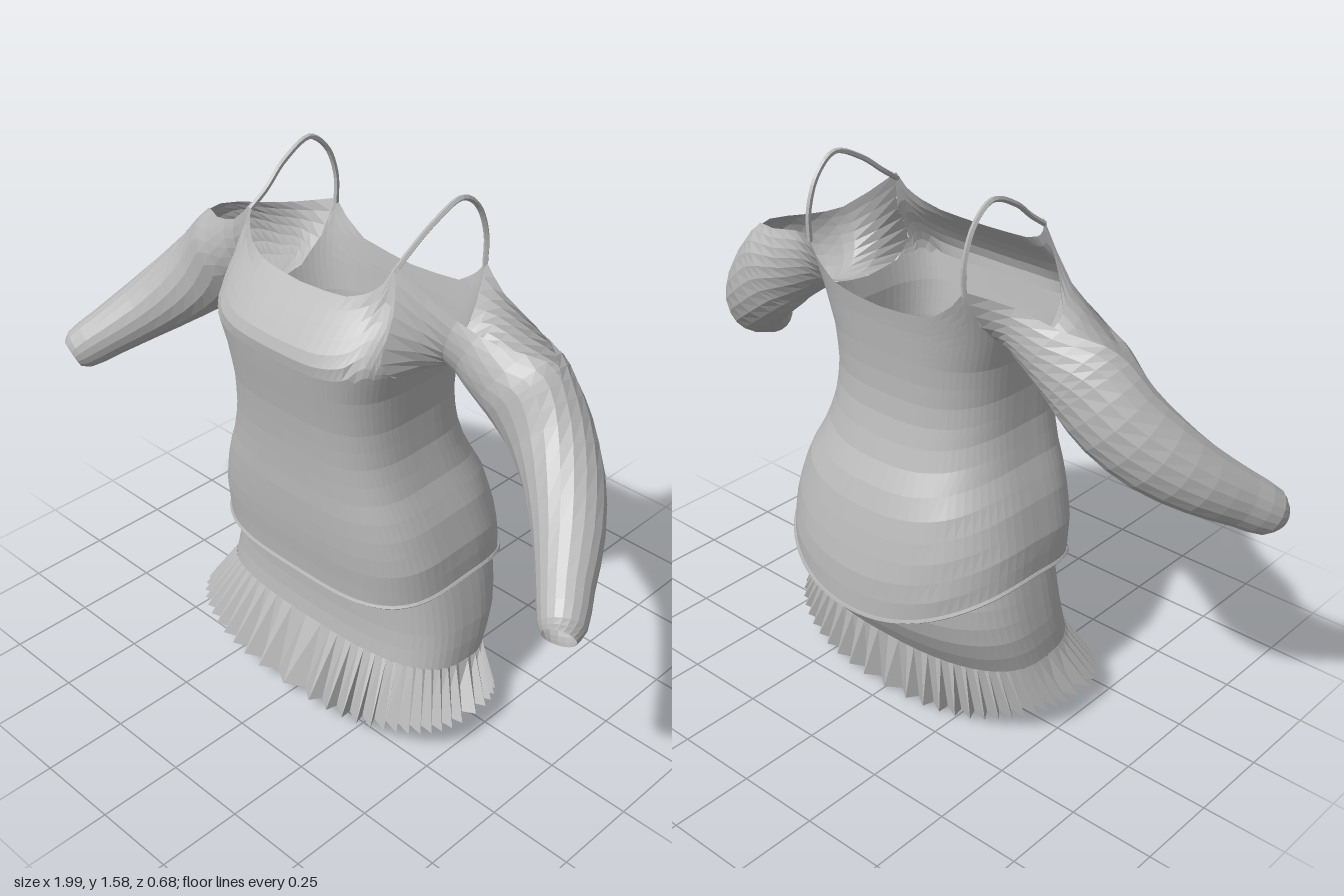
import * as THREE from 'three';

const fabric = new THREE.MeshStandardMaterial({ color: 0xb8b8b8, flatShading: true, side: THREE.DoubleSide });
fabric.name = 'grey fabric';
const RAD = Math.PI / 180;
const V = (x, y, z) => new THREE.Vector3(x, y, z);

// Linear lookup in rows of [key, value, value...], keys ascending
function lookup(table, k) {
  if (k <= table[0][0]) return table[0].slice(1);
  for (let i = 1; i < table.length; i++) {
    const a = table[i - 1], b = table[i];
    if (k <= b[0]) {
      const t = (k - a[0]) / (b[0] - a[0]);
      return a.slice(1).map((v, j) => v + (b[j + 1] - v) * t);
    }
  }
  return table[table.length - 1].slice(1);
}

// Surface through rows of points
function loft(rows) {
  const pos = [], idx = [], n = rows[0].length;
  rows.forEach(r => r.forEach(p => pos.push(p.x, p.y, p.z)));
  for (let i = 0; i < rows.length - 1; i++)
    for (let j = 0; j < n - 1; j++) {
      const a = i * n + j, b = a + n;
      idx.push(a, b, a + 1, a + 1, b, b + 1);
    }
  const g = new THREE.BufferGeometry();
  g.setAttribute('position', new THREE.Float32BufferAttribute(pos, 3));
  g.setIndex(idx);
  const flat = g.toNonIndexed();
  flat.computeVertexNormals();
  return flat;
}

function add(parent, name, geometry) {
  const m = new THREE.Mesh(geometry, fabric);
  m.name = name;
  parent.add(m);
  return m;
}

// Rounded-square outline point; z = +sin is the front
function outline(deg, y, w, zf, zb, eFront, eBack) {
  const c = Math.cos(deg * RAD), s = Math.sin(deg * RAD), e = s >= 0 ? eFront : eBack;
  const pw = v => Math.sign(v) * Math.pow(Math.abs(v), e);
  return V(w * pw(c), y, (zf + zb) / 2 + (zf - zb) / 2 * pw(s));
}

// height, half width, front z, back z
const BODY = [
  [0.36, 0.4, 0.265, -0.335], [0.47, 0.405, 0.27, -0.33], [0.58, 0.4, 0.283, -0.305],
  [0.7, 0.365, 0.29, -0.27], [0.8, 0.318, 0.29, -0.215], [0.9, 0.292, 0.295, -0.183],
  [1.0, 0.285, 0.305, -0.172], [1.1, 0.292, 0.323, -0.178], [1.19, 0.315, 0.338, -0.186],
  [1.22, 0.32, 0.328, -0.19], [1.27, 0.327, 0.29, -0.197], [1.35, 0.335, 0.222, -0.215],
  [1.45, 0.338, 0.18, -0.215]];
// angle, height of the upper edge: back neckline, back strap, armpit, front strap, front neckline
const EDGE = [
  [-90, 1.24], [-70, 1.26], [-55, 1.31], [-45, 1.355], [-35, 1.25], [-20, 1.18], [0, 1.155],
  [15, 1.17], [30, 1.23], [42, 1.36], [50, 1.455], [55, 1.41], [62, 1.38], [75, 1.355], [90, 1.345]];

// v = 0 hem, 0.6 underarm line, 1 upper edge
function bodyPoint(deg, v) {
  const s = Math.sin(deg * RAD);
  const hem = s > 0 ? 0.49 - 0.045 * s : 0.49 - 0.13 * s * s;
  const [top] = lookup(EDGE, Math.asin(s) / RAD);
  const [y] = lookup([[0, hem], [0.6, 1.1], [1, top]], v);
  const [w, zf, zb] = lookup(BODY, y);
  const eBack = THREE.MathUtils.mapLinear(Math.min(y, 1.3), 0.4, 1.3, 0.9, 0.55);
  return outline(deg, y, w, zf, zb, 0.57, eBack);
}

// centre x, y, z, radius up, radius sideways, opening half angle at front and back
const SLEEVE = [
  [0.385, 1.275, -0.01, 0.125, 0.115, 60, 65], [0.47, 1.215, -0.015, 0.122, 0.112, 40, 40],
  [0.55, 1.165, -0.02, 0.13, 0.115, 10, 10], [0.58, 1.135, -0.02, 0.13, 0.113, 0, 0],
  [0.65, 1.065, -0.01, 0.122, 0.108, 0, 0], [0.735, 0.985, 0.035, 0.112, 0.102, 0, 0],
  [0.82, 0.905, 0.115, 0.094, 0.09, 0, 0], [0.89, 0.835, 0.21, 0.078, 0.072, 0, 0],
  [0.94, 0.785, 0.278, 0.066, 0.06, 0, 0], [0.95, 0.772, 0.302, 0.045, 0.045, 0, 0]];

function sleeveGeometry() {
  const centres = [V(0.27, 1.28, 0), ...SLEEVE.map(s => V(s[0], s[1], s[2]))];
  // Seam along the body armhole, spaced evenly from front strap to back strap
  const armhole = Array.from({ length: 20 }, (_, k) => bodyPoint(50 - 5 * k, 1));
  const seam = new THREE.CatmullRomCurve3(armhole).getSpacedPoints(19);
  const columns = seam.map((start, k) => {
    const pts = [start];
    SLEEVE.forEach(([, , , ru, rz, gf, gb], i) => {
      const c = centres[i + 1];
      const t = (centres[i + 2] || c).clone().sub(centres[i]).normalize();
      const side = t.clone().cross(V(0, 1, 0)).normalize();
      const up = side.clone().cross(t);
      const phi = (gf + (360 - gf - gb) * k / 19) * RAD;
      pts.push(c.clone().addScaledVector(up, ru * Math.cos(phi)).addScaledVector(side, rz * Math.sin(phi)));
    });
    return new THREE.CatmullRomCurve3(pts);
  });
  const rows = [];
  for (let r = 20; r >= 0; r--) rows.push(columns.map(c => c.getPoint(r / 20)));
  return loft(rows);
}

export function createModel() {
  const model = new THREE.Group();
  model.name = 'dress';
  const angles = Array.from({ length: 73 }, (_, i) => i * 5);

  // Blouse body with dipped hem and open armholes
  const rows = [];
  for (let r = 0; r <= 20; r++) rows.push(angles.map(a => bodyPoint(a, r / 20)));
  add(model, 'blouseBody', loft(rows));

  // Rolled hem
  const hem = new THREE.CatmullRomCurve3(angles.slice(0, -1).map(a => bodyPoint(a, 0)), true);
  add(model, 'blouseHem', new THREE.TubeGeometry(hem, 72, 0.007, 5, true));

  // Sleeves and shoulder straps
  const sleeve = sleeveGeometry();
  const strapPath = new THREE.CatmullRomCurve3([
    bodyPoint(50, 0.98), V(0.262, 1.475, 0.1), V(0.271, 1.53, 0.025), V(0.276, 1.568, -0.075),
    V(0.276, 1.52, -0.14), V(0.276, 1.43, -0.175), bodyPoint(-45, 0.98)]);
  const strap = new THREE.TubeGeometry(strapPath, 28, 0.008, 5);
  for (const [side, sx] of [['left', 1], ['right', -1]]) {
    add(model, side + 'Sleeve', sleeve).scale.x = sx;
    add(model, side + 'Strap', strap).scale.x = sx;
  }

  // Skirt; its lower edge is higher at the front
  const SKIRT = [
    [0.16, 0.438, 0.245, -0.165], [0.25, 0.436, 0.235, -0.222], [0.32, 0.428, 0.225, -0.258],
    [0.4, 0.413, 0.225, -0.277], [0.48, 0.395, 0.225, -0.275], [0.56, 0.37, 0.225, -0.25]];
  const skirtPoint = (deg, v) => {
    const low = 0.217 + 0.035 * Math.sin(deg * RAD);
    const y = low + (0.54 - low) * v;
    const [w, zf, zb] = lookup(SKIRT, y);
    return outline(deg, y, w, zf, zb, 0.68, 0.82);
  };
  const skirtRows = [];
  for (let r = 0; r <= 6; r++) skirtRows.push(angles.map(a => skirtPoint(a, r / 6)));
  add(model, 'skirt', loft(skirtRows));

  // Pleated ruffle: folds deepen towards the lower edge
  const folds = 112, top = [], bottom = [];
  for (let i = 0; i <= folds; i++) {
    const deg = i * 360 / folds, s = Math.sin(deg * RAD), inner = i % 2;
    const y = (s > 0 ? 0.09 - 0.04 * s ** 4 : 0.09 - 0.085 * s * s) - 0.005 * inner;
    const d = 0.06 * inner;
    bottom.push(outline(deg, y, 0.52 - d, 0.335 - d * 0.6, -0.2 + d * 0.6, 0.72, 0.82));
    const t = skirtPoint(deg, 0);
    top.push(V(t.x * (inner ? 0.99 : 1.01), t.y, t.z));
  }
  add(model, 'ruffle', loft([bottom, top]));
  return model;
}
